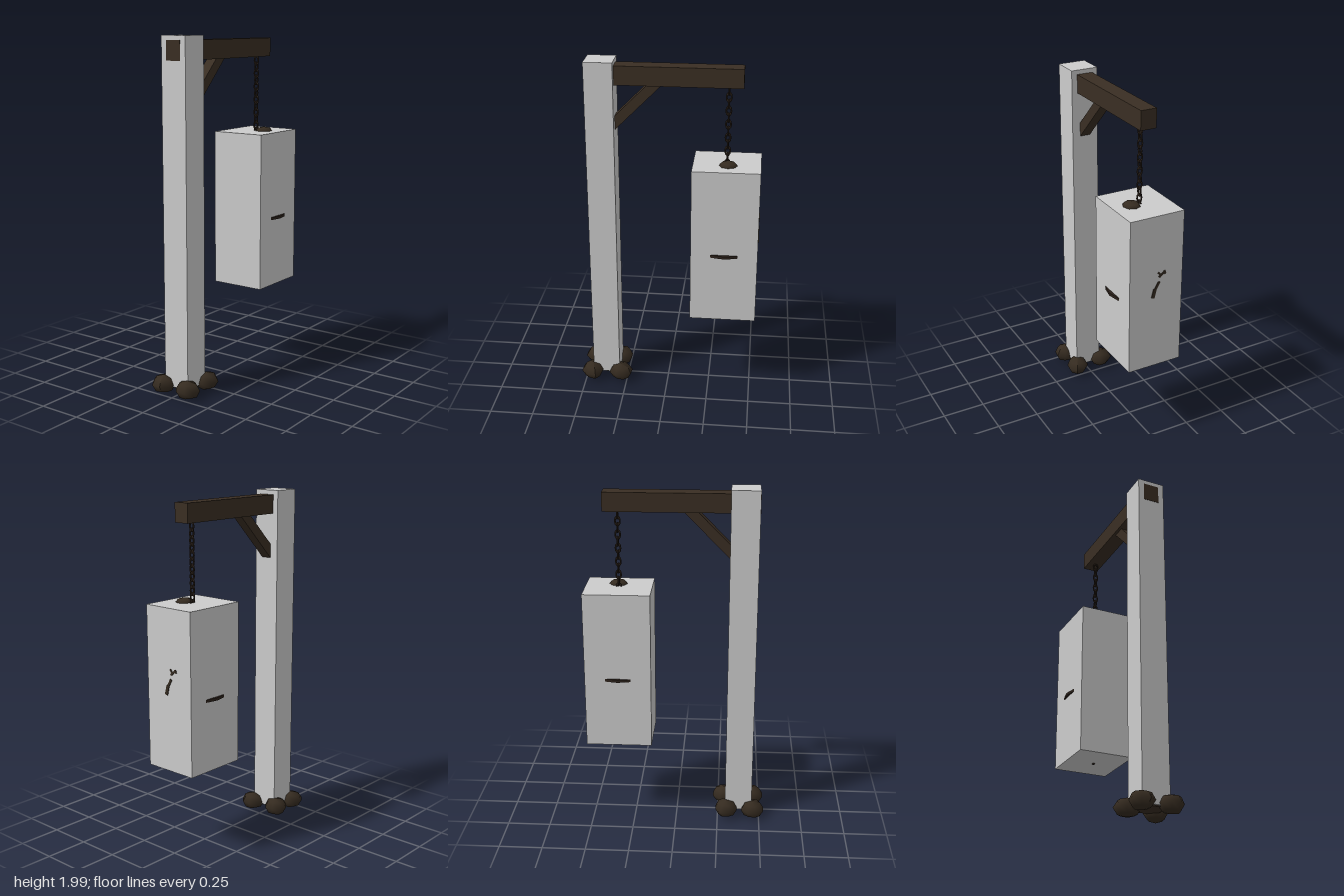
import * as THREE from 'three';

const mat = (name, color, side = THREE.FrontSide) => {
  const m = new THREE.MeshStandardMaterial({ color, side });
  m.name = name;
  return m;
};

export function createModel() {
  const root = new THREE.Group();
  root.name = 'hangingPost';
  const grey = mat('paleGrey', 0xcccccc);
  const wood = mat('darkWood', 0x3a2e23);
  const stone = mat('darkStone', 0x352b20);
  const iron = mat('darkIron', 0x2b211a);

  const add = (name, geo, material, parent = root) => {
    const mesh = new THREE.Mesh(geo, material);
    mesh.name = name;
    parent.add(mesh);
    return mesh;
  };
  // box given by its lower and upper corners
  const block = (name, a, b, material) => {
    const mesh = add(name, new THREE.BoxGeometry(b[0] - a[0], b[1] - a[1], b[2] - a[2]), material);
    mesh.position.set((a[0] + b[0]) / 2, (a[1] + b[1]) / 2, (a[2] + b[2]) / 2);
    return mesh;
  };

  // upright post, its dark foot and the beam, whose end shows through the post
  block('post', [-0.455, 0.05, -0.081], [-0.295, 2, 0.079], grey);
  block('postFoot', [-0.445, 0.043, -0.07], [-0.305, 0.051, 0.07], wood);
  block('beam', [-0.457, 1.868, -0.048], [0.41, 1.975, 0.045], wood);

  // diagonal brace
  const braceShape = new THREE.Shape([
    [-0.3, 1.605], [-0.035, 1.87], [-0.115, 1.87], [-0.3, 1.685],
  ].map(([x, y]) => new THREE.Vector2(x, y)));
  const braceGeo = new THREE.ExtrudeGeometry(braceShape, { depth: 0.062, bevelEnabled: false });
  add('brace', braceGeo, wood).position.z = -0.031;

  // faceted stones around the foot
  const makeStone = (seed) => {
    const geo = new THREE.SphereGeometry(1, 8, 4);
    const p = geo.attributes.position;
    for (let i = 0; i < p.count; i++) {
      const x = p.getX(i), y = p.getY(i), z = p.getZ(i);
      const k = 1 + 0.06 * Math.sin(3 * x + seed) * Math.cos(4 * z + 2 * seed + y);
      p.setXYZ(i, x * k, y * k, z * k);
    }
    geo.computeVertexNormals();
    return geo;
  };
  const stones = [
    [-0.46, 0.06, -0.087, 0.07], [-0.302, 0.063, -0.089, 0.071],
    [-0.459, 0.06, 0.082, 0.07], [-0.286, 0.06, 0.081, 0.073],
  ];
  stones.forEach(([x, y, z, r], i) => {
    const s = add('stone', makeStone(i * 1.7), stone);
    s.position.set(x, y, z);
    s.scale.set(r, 0.052, 0.068);
    s.rotation.y = 0.3 + i * 0.8;
  });

  // chain of alternating oval links
  const chain = new THREE.Group();
  chain.name = 'chain';
  root.add(chain);
  const linkGeo = new THREE.TorusGeometry(0.014, 0.005, 6, 10);
  linkGeo.scale(1, 1.7, 1);
  for (let i = 0; i < 12; i++) {
    const link = add('chainLink', linkGeo, iron, chain);
    link.position.set(0.33, 1.845 - i * 0.0385, 0);
    link.rotation.y = i % 2 ? 0 : Math.PI / 2;
  }

  // hanging block with the iron hoop showing front and back
  block('hangingBlock', [0.14, 0.51, -0.165], [0.52, 1.43, 0.162], grey);
  const hoop = add('hoop', new THREE.CylinderGeometry(0.181, 0.181, 0.016, 16), iron);
  hoop.position.set(0.33, 0.92, 0);

  // knob breaking through the top
  const knob = add('topKnob', new THREE.SphereGeometry(1, 8, 4), stone);
  knob.position.set(0.337, 1.425, 0.052);
  knob.scale.set(0.056, 0.03, 0.052);

  // slivers breaking through the +x side: [y, z, length, width, tilt]
  const slivers = [
    [0.975, 0.012, 0.055, 0.02, -0.25], [1.02, -0.008, 0.045, 0.014, -0.5],
    [1.08, -0.035, 0.045, 0.012, -0.9], [1.085, -0.022, 0.03, 0.01, 0.7], [1.09, -0.054, 0.02, 0.01, 0.3],
  ];
  slivers.forEach(([y, z, length, width, tilt]) => {
    const s = add('sideSliver', new THREE.BoxGeometry(0.008, length, width), stone);
    s.position.set(0.52, y, z);
    s.rotation.x = tilt;
  });

  // tip under the block
  const tip = add('bottomTip', new THREE.SphereGeometry(0.01, 6, 4), iron);
  tip.position.set(0.33, 0.512, 0);
  return root;
}
